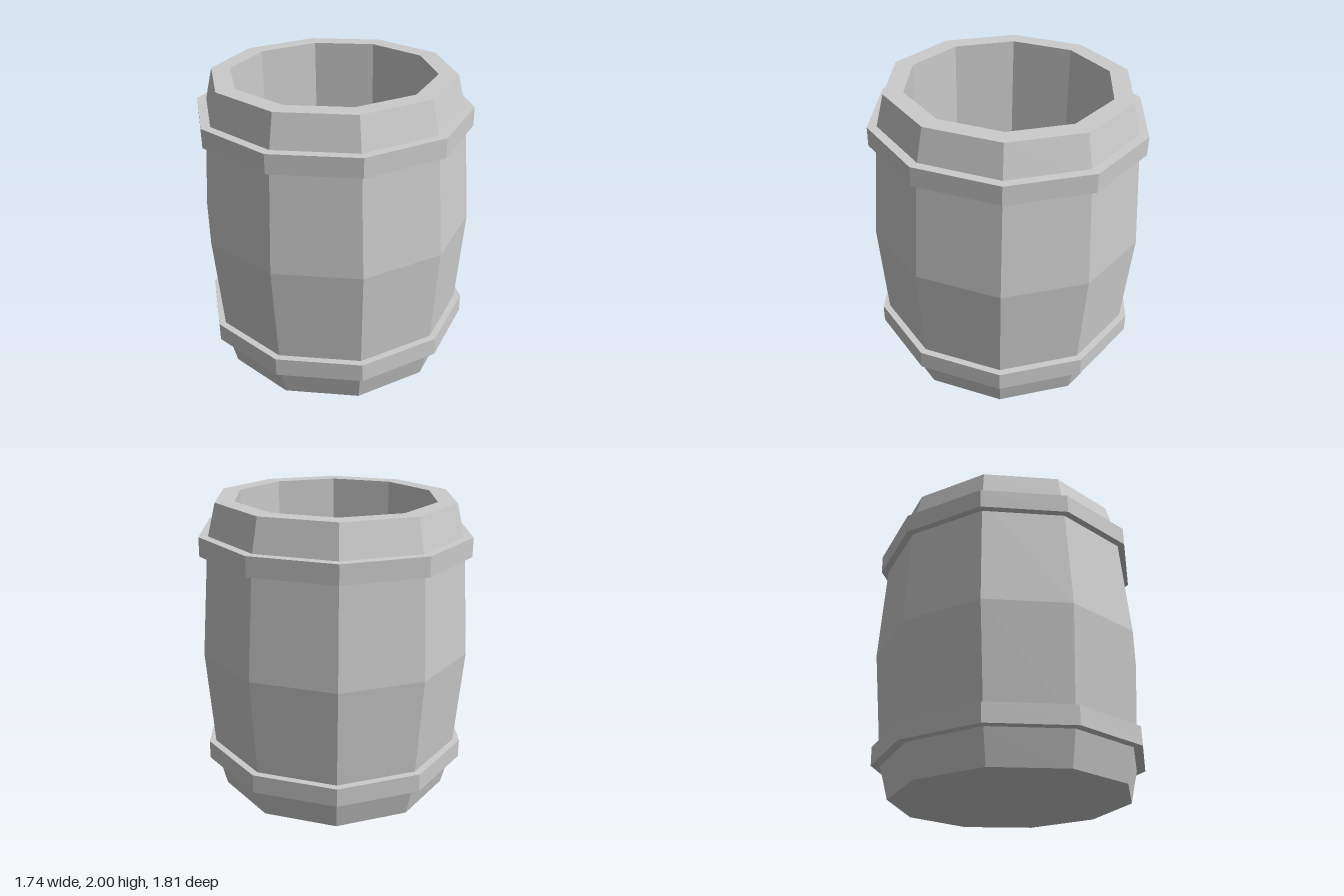
import * as THREE from 'three';

const SIDES = 10;
const material = new THREE.MeshStandardMaterial({ color: 0xcccccc, flatShading: true });

// Ten-sided solid of revolution from [radius, height] pairs
function turned(name, profile) {
  const points = profile.map(([r, y]) => new THREE.Vector2(r, y));
  const mesh = new THREE.Mesh(new THREE.LatheGeometry(points, SIDES), material);
  mesh.name = name;
  return mesh;
}

export function createModel() {
  const model = new THREE.Group();
  model.name = 'barrel';

  // Barrel leans and twists slightly about its middle
  const barrel = new THREE.Group();
  barrel.name = 'leaningBarrel';
  barrel.position.y = 1;
  barrel.rotation.set(-0.011, -0.024, 0.0165);
  model.add(barrel);

  // Bulging staves with base, thick rim, hollow inside and floor
  const half = 0.984;
  barrel.add(turned('staves', [
    [0, -half], [0.786, -half], [0.843, -0.75], [0.9, 0], [0.843, 0.75], [0.786, half],
    [0.662, half], [0.662, -0.84], [0, -0.84],
  ]));

  // Flat hoops near both ends
  for (const [name, y] of [['lowerHoop', -0.705], ['upperHoop', 0.715]]) {
    const hoop = turned(name, [
      [0.82, -0.062], [0.897, -0.062], [0.897, 0.062], [0.82, 0.062], [0.82, -0.062],
    ]);
    hoop.position.y = y;
    barrel.add(hoop);
  }
  return model;
}
